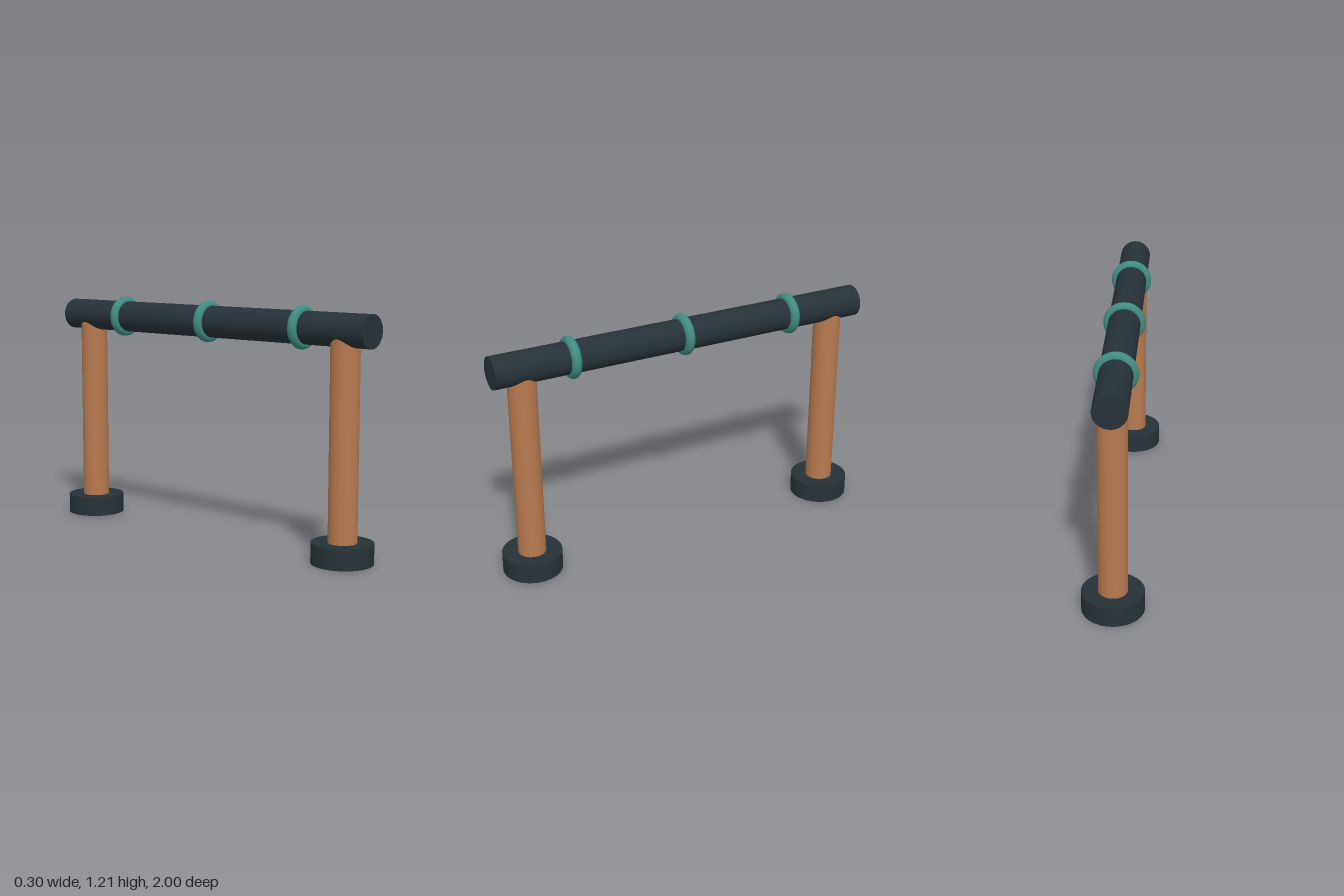
import * as THREE from 'three';

export function createModel() {
  const model = new THREE.Group();
  const dark = new THREE.MeshStandardMaterial({ name: 'dark slate', color: 0x263238 });
  const wood = new THREE.MeshStandardMaterial({ name: 'warm wood', color: 0xb87a50 });
  const teal = new THREE.MeshStandardMaterial({ name: 'teal', color: 0x3f8c82 });

  const add = (name, geometry, material, y, z) => {
    const mesh = new THREE.Mesh(geometry, material);
    mesh.name = name;
    mesh.position.set(0, y, z);
    model.add(mesh);
    return mesh;
  };

  // Round feet and the posts that stand in them
  const footGeometry = new THREE.CylinderGeometry(0.15, 0.15, 0.1, 48);
  const postGeometry = new THREE.CylinderGeometry(0.07, 0.07, 1.08, 40);
  for (const [side, z] of [['front', 0.85], ['back', -0.85]]) {
    add(side + 'Foot', footGeometry, dark, 0.05, z);
    add(side + 'Post', postGeometry, wood, 0.55, z);
  }

  // Horizontal beam running front to back
  const beam = add('beam', new THREE.CylinderGeometry(0.08, 0.08, 2, 40), dark, 1.1, 0);
  beam.rotation.x = Math.PI / 2;

  // Grip rings around the beam
  const ringGeometry = new THREE.TorusGeometry(0.08, 0.025, 16, 48);
  [0.6, 0, -0.6].forEach((z, i) => add('ring' + (i + 1), ringGeometry, teal, 1.1, z));

  return model;
}
